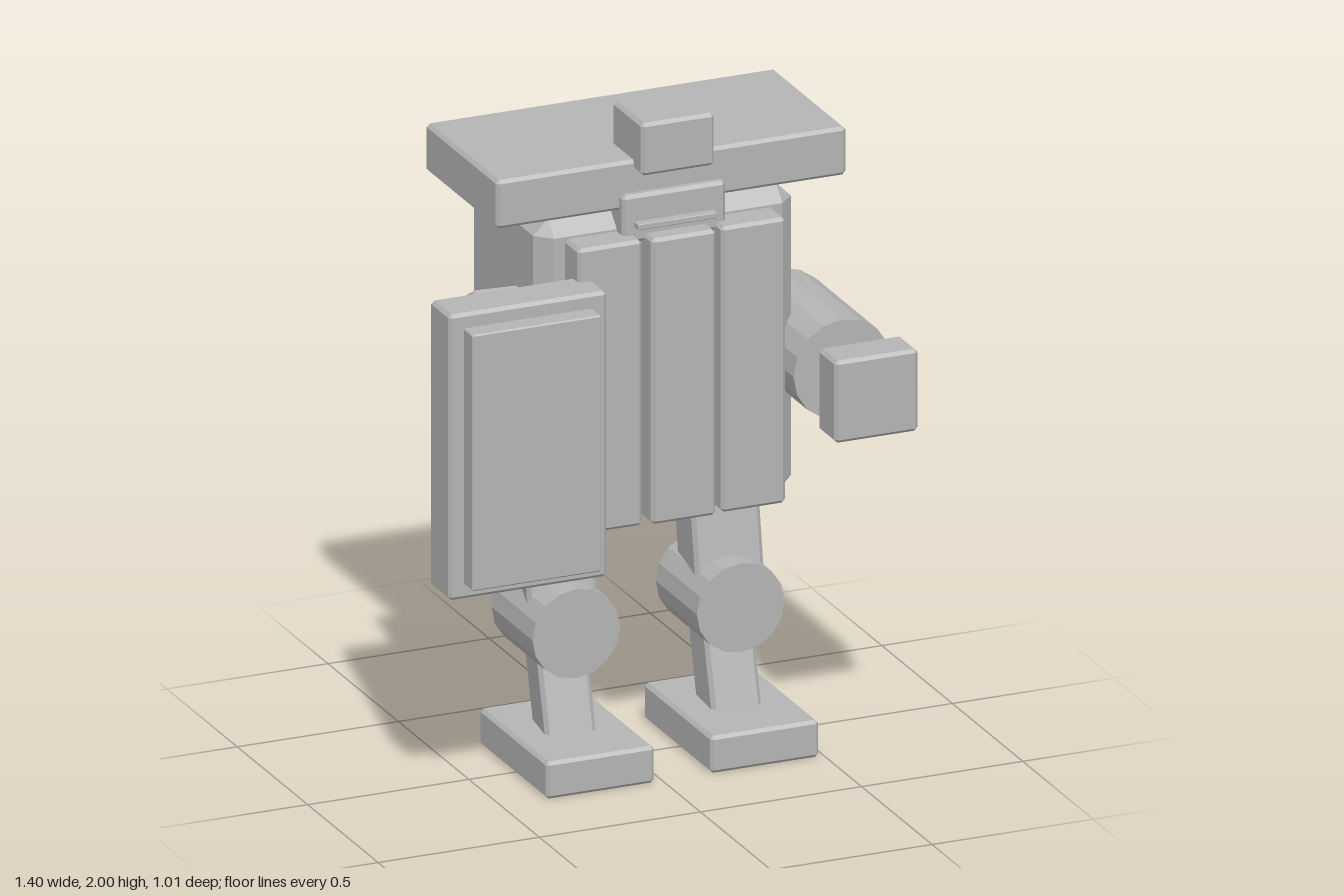
import * as THREE from 'three';
import { ConvexGeometry } from 'three/addons/geometries/ConvexGeometry.js';

const grey = new THREE.MeshStandardMaterial({ color: 0xb4b4b4 });
grey.name = 'plain grey';
grey.flatShading = true;

// Box with every edge and corner cut flat by b
function chamferBox(w, h, d, b) {
  const points = [];
  for (const x of [-1, 1]) for (const y of [-1, 1]) for (const z of [-1, 1]) {
    for (let full = 0; full < 3; full++) {
      points.push(new THREE.Vector3(
        x * (w / 2 - (full === 0 ? 0 : b)),
        y * (h / 2 - (full === 1 ? 0 : b)),
        z * (d / 2 - (full === 2 ? 0 : b))));
    }
  }
  return new ConvexGeometry(points);
}

function addMesh(parent, name, geometry, x, y, z) {
  const mesh = new THREE.Mesh(geometry, grey);
  mesh.name = name;
  mesh.position.set(x, y, z);
  parent.add(mesh);
  return mesh;
}

// Box given by its limits on each axis
function block(parent, name, [x0, x1], [y0, y1], [z0, z1], bevel = 0.01) {
  return addMesh(parent, name, chamferBox(x1 - x0, y1 - y0, z1 - z0, bevel),
    (x0 + x1) / 2, (y0 + y1) / 2, (z0 + z1) / 2);
}

// Tilted box given by centre, size and rotation
function limb(parent, name, centre, size, rotation) {
  const mesh = addMesh(parent, name, chamferBox(...size, 0.012), ...centre);
  mesh.rotation.set(...rotation);
  return mesh;
}

// Cylinder lying along z
function drum(parent, name, x, y, z0, z1, radius) {
  const geometry = new THREE.CylinderGeometry(radius, radius, z1 - z0, 16).rotateX(Math.PI / 2);
  return addMesh(parent, name, geometry, x, y, (z0 + z1) / 2);
}

// Upright cylinder
function post(parent, name, x, z, y0, y1, radius) {
  return addMesh(parent, name, new THREE.CylinderGeometry(radius, radius, y1 - y0, 16),
    x, (y0 + y1) / 2, z);
}

function createModel() {
  const model = new THREE.Group();
  model.name = 'blockyRobot';

  // Torso with three front slats
  block(model, 'torso', [-0.34, 0.46], [0.765, 1.708], [-0.375, 0.135], 0.046);
  [-0.26, -0.035, 0.185].forEach((x, i) =>
    block(model, 'frontSlat', [x, x + 0.2], [0.785, 1.655], [0.1, i === 1 ? 0.237 : 0.228]));

  // Head, visor, shoulder slab and top box
  block(model, 'head', [-0.1, 0.22], [1.63, 1.775], [-0.115, 0.18]);
  block(model, 'visor', [-0.065, 0.18], [1.677, 1.695], [0.17, 0.207], 0.002);
  block(model, 'shoulderSlab', [-0.48, 0.605], [1.725, 1.872], [-0.355, 0.155]);
  block(model, 'topBox', [-0.055, 0.172], [1.84, 2], [0, 0.21]);

  // Right arm carrying the shield
  limb(model, 'shieldArm', [-0.422, 1.26, 0.05], [0.15, 0.44, 0.145], [-0.53, 0, -0.04]);
  block(model, 'shield', [-0.7, -0.21], [0.685, 1.555], [0.18, 0.32]);
  block(model, 'shieldPanel', [-0.655, -0.255], [0.73, 1.51], [0.31, 0.382], 0.004);

  // Left arm: drum, wrist and fist
  drum(model, 'armDrum', 0.545, 1.18, -0.178, 0.262, 0.152);
  drum(model, 'wrist', 0.545, 1.18, 0.25, 0.39, 0.07);
  block(model, 'fist', [0.417, 0.675], [1.057, 1.307], [0.38, 0.505]);

  // Back tanks with nozzles
  for (const x of [-0.17, 0.29]) {
    post(model, 'backTank', x, -0.432, 0.915, 1.56, 0.075);
    post(model, 'tankNozzle', x, -0.432, 1.55, 1.69, 0.034);
  }

  // Legs
  for (const [name, x, yaw] of [['rightLeg', -0.195, -0.2], ['leftLeg', 0.315, -0.1]]) {
    const leg = new THREE.Group();
    leg.name = name;
    leg.position.x = x;
    limb(leg, 'thigh', [0.005, 0.585, -0.1], [0.205, 0.34, 0.175], [-0.16, yaw, 0]);
    drum(leg, 'knee', 0, 0.42, -0.227, 0.065, 0.136);
    limb(leg, 'shin', [0, 0.22, -0.05], [0.15, 0.3, 0.145], [-0.26, yaw * 0.7, 0]);
    block(leg, 'foot', [-0.168, 0.168], [0, 0.113], [-0.24, 0.24]);
    model.add(leg);
  }
  return model;
}

export { createModel };
